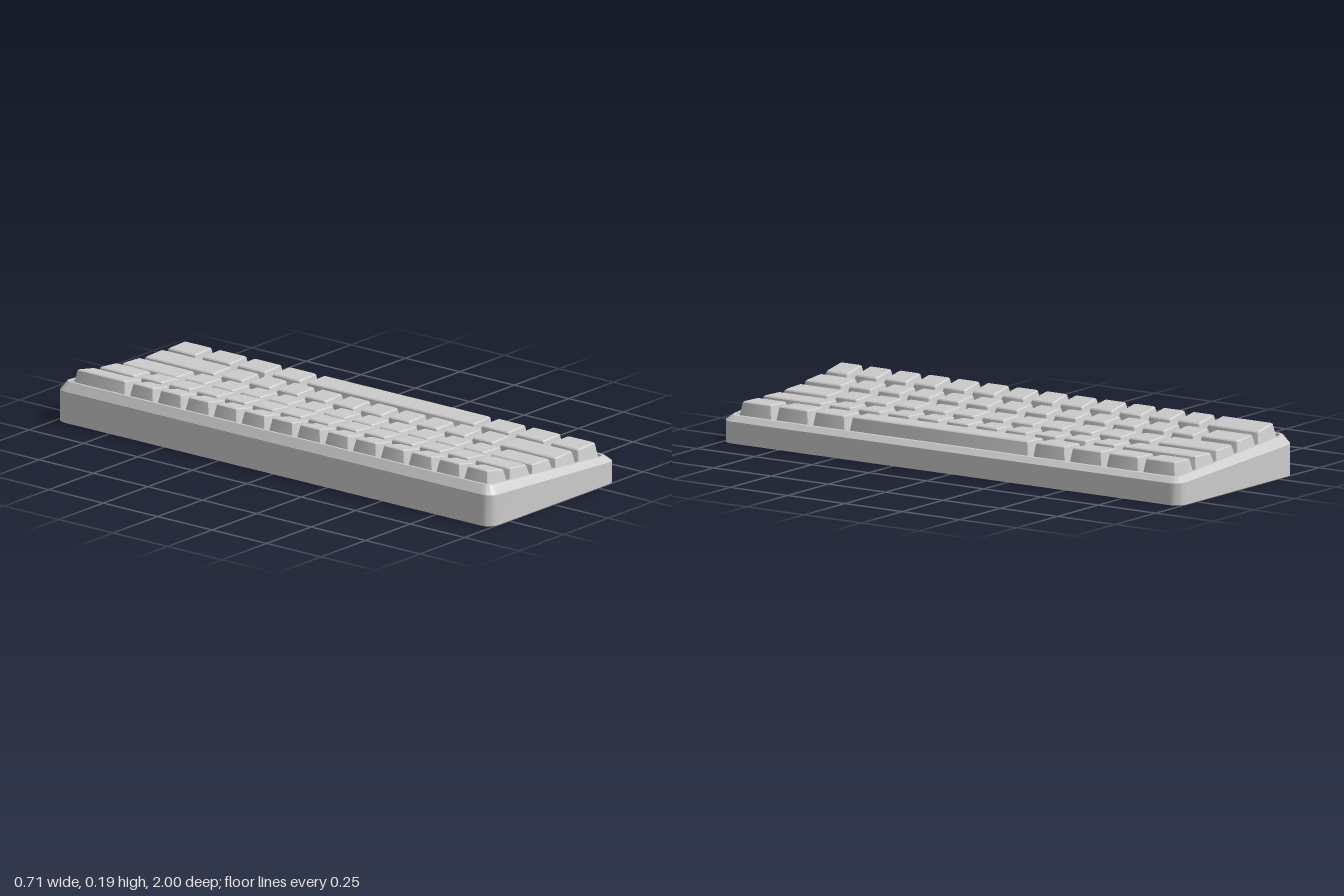
import * as THREE from 'three';
import { toCreasedNormals } from 'three/addons/utils/BufferGeometryUtils.js';

const material = new THREE.MeshStandardMaterial({ color: 0xcccccc });

// Rounded rectangle ring between x0..x1 and z0..z1; height is a function of x
function ring(x0, x1, z0, z1, radius, height, steps) {
  const corners = [
    [x1 - radius, z1 - radius], [x0 + radius, z1 - radius],
    [x0 + radius, z0 + radius], [x1 - radius, z0 + radius],
  ];
  const points = [];
  corners.forEach(([cx, cz], c) => {
    for (let i = 0; i <= steps; i++) {
      const a = (c + i / steps) * Math.PI / 2;
      const x = cx + radius * Math.cos(a);
      points.push(new THREE.Vector3(x, height(x), cz + radius * Math.sin(a)));
    }
  });
  return points;
}

// Skin over a stack of rings, with optional end caps
function loft(name, rings, capBottom, capTop, crease) {
  const tris = [];
  const n = rings[0].length;
  for (let r = 0; r < rings.length - 1; r++) {
    for (let i = 0; i < n; i++) {
      const j = (i + 1) % n;
      const [lo, hi] = [rings[r], rings[r + 1]];
      tris.push(lo[i], hi[i], lo[j], lo[j], hi[i], hi[j]);
    }
  }
  const cap = (points, up) => {
    const centre = new THREE.Vector3();
    points.forEach((p) => centre.addScaledVector(p, 1 / n));
    for (let i = 0; i < n; i++) {
      const [a, b] = [points[i], points[(i + 1) % n]];
      if (up) tris.push(centre, b, a);
      else tris.push(centre, a, b);
    }
  };
  if (capBottom) cap(rings[0], false);
  if (capTop) cap(rings[rings.length - 1], true);
  const geometry = toCreasedNormals(new THREE.BufferGeometry().setFromPoints(tris), crease);
  const mesh = new THREE.Mesh(geometry, material);
  mesh.name = name;
  return mesh;
}

// Sloping heights of the case seam and the rim
const seam = (x) => 0.0975 - 0.052 * x;
const rim = (x) => 0.123 - 0.075 * x;

const UNIT = 0.128;
const repeat = (width, count) => Array(count).fill(width);

// Each row: top edge from (x0, y0) to (x1, y1), and key widths in units from +z to -z
const ROWS = [
  { name: 'numberRow', top: [-0.301, 0.189, -0.209, 0.172], keys: [...repeat(1, 13), 2] },
  { name: 'upperRow', top: [-0.175, 0.167, -0.081, 0.159], keys: [1.5, ...repeat(1, 12), 1.5] },
  { name: 'middleRow', top: [-0.050, 0.151, 0.047, 0.147], keys: [1.75, ...repeat(1, 11), 2.25] },
  { name: 'lowerRow', top: [0.079, 0.143, 0.175, 0.146], keys: [2.25, ...repeat(1, 10), 2.75] },
  { name: 'bottomRow', top: [0.208, 0.143, 0.304, 0.146], keys: [...repeat(1.25, 3), 6.25, ...repeat(1.25, 4)] },
];

// Tapered keycap with a narrow bevel around its tilted top
function keycap(name, [x0, y0, x1, y1], centreX, z, length) {
  const top = (x) => y0 + (y1 - y0) * (x - x0) / (x1 - x0);
  const h = length / 2;
  const layer = (a, b, halfZ, radius, height) =>
    ring(a, b, z - halfZ, z + halfZ, radius, height, 3);
  return loft(name, [
    layer(centreX - 0.06, centreX + 0.06, h - 0.005, 0.005, (x) => rim(x) - 0.032),
    layer(x0 - 0.001, x1 + 0.001, h - 0.017, 0.007, (x) => top(x) - 0.004),
    layer(x0 + 0.003, x1 - 0.003, h - 0.021, 0.006, top),
  ], true, true, 0.5);
}

export function createModel() {
  const model = new THREE.Group();
  model.name = 'keyboard';

  const caseRing = (hx, hz, radius, height) => ring(-hx, hx, -hz, hz, radius, height, 8);

  // Wedge-shaped lower case
  model.add(loft('lowerCase', [
    caseRing(0.355, 1, 0.045, () => 0),
    caseRing(0.355, 1, 0.045, seam),
  ], true, false, 0.5));

  // Chamfered bezel, inner wall and plate under the keys
  model.add(loft('bezel', [
    caseRing(0.355, 1, 0.045, seam),
    caseRing(0.334, 0.977, 0.032, rim),
    caseRing(0.323, 0.966, 0.022, rim),
    caseRing(0.323, 0.966, 0.022, (x) => rim(x) - 0.035),
  ], false, true, 0.4));

  // Five rows of keys
  ROWS.forEach((row, r) => {
    const group = new THREE.Group();
    group.name = row.name;
    let z = 7.5 * UNIT;
    row.keys.forEach((width, k) => {
      const length = width * UNIT;
      const name = width > 6 ? 'spaceBar' : `key${k + 1}`;
      group.add(keycap(name, row.top, (r - 2) * UNIT, z - length / 2, length));
      z -= length;
    });
    model.add(group);
  });

  return model;
}
